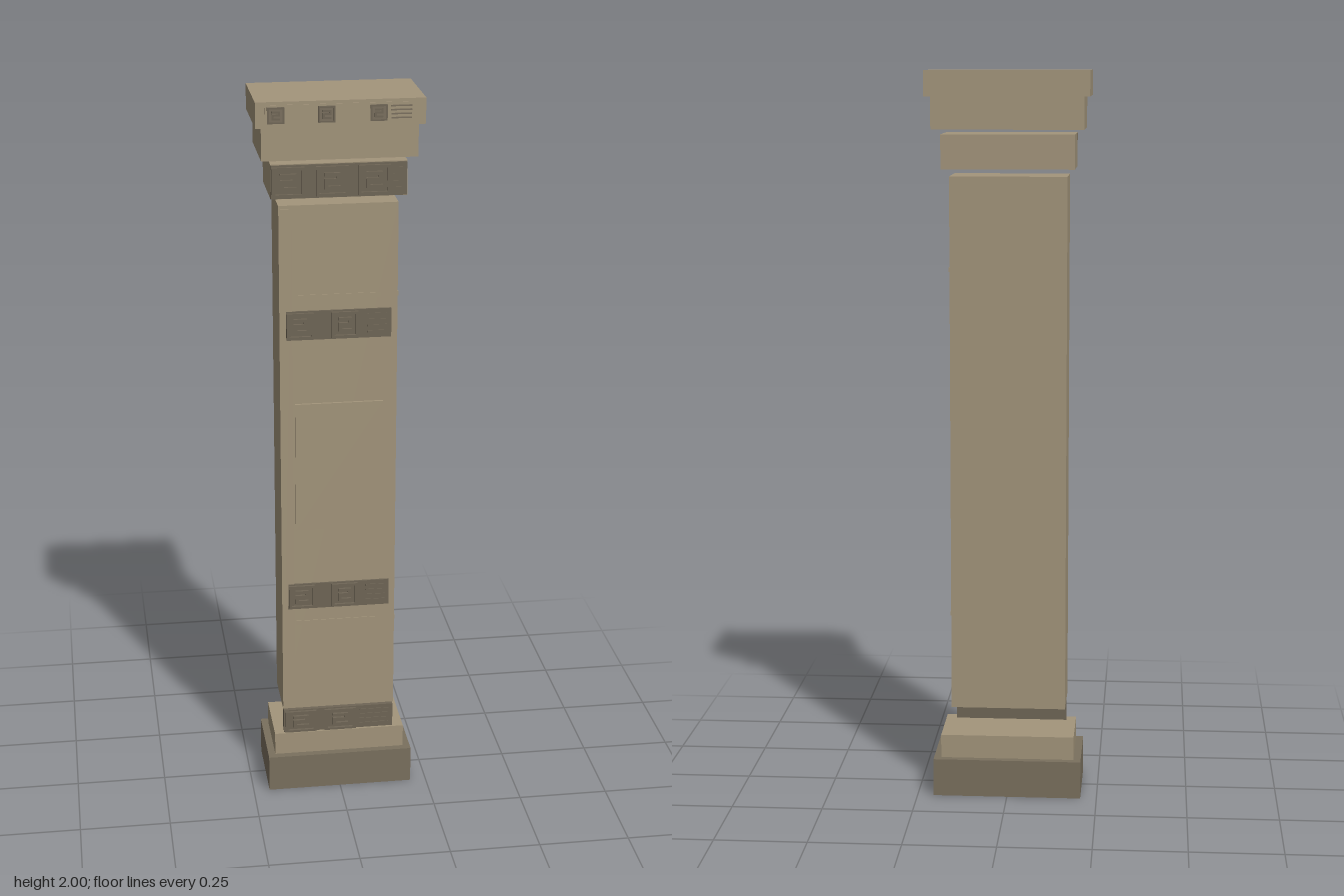
import * as THREE from 'three';

export function createModel() {
  const root = new THREE.Group();
  const stone = new THREE.MeshStandardMaterial({ color: 0xa3957b });
  const darkStone = new THREE.MeshStandardMaterial({ color: 0x7a705e });
  const carvedStone = new THREE.MeshStandardMaterial({ color: 0x6f6656 });
  stone.name = 'stone';
  darkStone.name = 'darkStone';
  carvedStone.name = 'carvedStone';

  // Box given by its limits on each axis
  function block(name, mat, x0, x1, y0, y1, z0, z1, parent = root) {
    const mesh = new THREE.Mesh(new THREE.BoxGeometry(x1 - x0, y1 - y0, z1 - z0), mat);
    mesh.position.set((x0 + x1) / 2, (y0 + y1) / 2, (z0 + z1) / 2);
    mesh.name = name;
    parent.add(mesh);
    return mesh;
  }

  // Stepped foot and head
  block('plinth', darkStone, -0.205, 0.205, 0, 0.105, -0.12, 0.11);
  block('plinthStep', stone, -0.185, 0.185, 0.105, 0.17, -0.1, 0.09);
  block('neckBlock', stone, -0.18, 0.178, 1.74, 1.832, -0.1, 0.088);
  block('capitalBlock', stone, -0.205, 0.203, 1.845, 1.932, -0.112, 0.105);
  block('capitalSlab', stone, -0.22, 0.22, 1.932, 2, -0.125, 0.113);

  // Shaft, hollow and open underneath
  const shaft = block('shaft', stone, -0.16, 0.157, 0.245, 1.72, -0.08, 0.08);
  const openBox = shaft.geometry;
  const kept = Array.from(openBox.index.array).filter((v, i) => i < 18 || i >= 24);
  openBox.setIndex(kept);
  const hollowStone = stone;
  hollowStone.side = THREE.DoubleSide;
  block('shaftEdgeStrip', stone, -0.16, -0.125, 0.255, 1.71, 0.08, 0.083);
  block('frontPanel', stone, -0.12, 0.12, 0.8, 1.17, 0.08, 0.087);

  // Square key pattern: frame bars and a hooked line, in unit cells
  const keyBars = [
    [0, 1, 0, 0.1], [0, 1, 0.9, 1], [0, 0.1, 0.1, 0.9], [0.9, 1, 0.1, 0.9],
    [0.25, 0.75, 0.66, 0.78], [0.63, 0.75, 0.46, 0.66],
    [0.25, 0.63, 0.46, 0.58], [0.25, 0.37, 0.22, 0.46], [0.37, 0.75, 0.22, 0.34],
  ];
  function key(parent, cx, cy, w, h, z, depth) {
    const g = new THREE.Group();
    g.name = 'fretKey';
    for (const [a, b, c, d] of keyBars) {
      block('fretBar', carvedStone, cx + (a - 0.5) * w, cx + (b - 0.5) * w,
        cy + (c - 0.5) * h, cy + (d - 0.5) * h, z, z + depth, g);
    }
    parent.add(g);
  }

  // Carved bands: backing plate, keys and fine ridges at the right end
  const bands = [
    { name: 'lowerBand', x: [-0.158, 0.155], y: [0.168, 0.24], z: [0.058, 0.083], keys: [-0.11, 0.003], w: 0.09, ridge: 0.06 },
    { name: 'lowerShaftBand', x: [-0.142, 0.14], y: [0.56, 0.636], z: [0.08, 0.085], keys: [-0.105, 0.015], w: 0.072, ridge: 0.075 },
    { name: 'upperShaftBand', x: [-0.142, 0.14], y: [1.352, 1.432], z: [0.08, 0.085], keys: [-0.105, 0.015], w: 0.072, ridge: 0.075 },
    { name: 'neckBand', x: [-0.18, 0.176], y: [1.742, 1.83], z: [0.088, 0.094], keys: [-0.135, -0.02, 0.09], w: 0.085, ridge: 0.14 },
    { name: 'capitalBand', x: [-0.195, 0.195], y: [1.94, 1.992], z: [0.113, 0.115], keys: [-0.168, -0.037, 0.097], w: 0.044, ridge: 0.13, pale: true },
  ];
  for (const b of bands) {
    const g = new THREE.Group();
    g.name = b.name;
    root.add(g);
    const h = b.y[1] - b.y[0];
    const cy = (b.y[0] + b.y[1]) / 2;
    const front = b.z[1];
    block('bandPlate', b.pale ? stone : carvedStone, ...b.x, ...b.y, ...b.z, g);
    for (const x of b.keys) {
      if (b.pale) block('keyPlate', darkStone, x - 0.022, x + 0.022, cy - 0.02, cy + 0.02, front, front + 0.003, g);
      key(g, x, cy, b.w, h * (b.pale ? 0.8 : 0.9), front, 0.007);
    }
    for (let i = 0; i < 4; i++) {
      const y = b.y[0] + h * (0.18 + i * 0.2);
      block('ridge', b.pale ? darkStone : carvedStone, b.ridge, b.x[1] - 0.012, y, y + h * 0.07, front, front + 0.002, g);
    }
  }

  // Shallow string lines around the front and right of the shaft
  for (const y of [0.515, 1.47]) {
    block('stringLineFront', stone, -0.12, 0.11, y - 0.006, y + 0.006, 0.08, 0.082);
    block('stringLineSide', stone, 0.157, 0.159, y - 0.006, y + 0.006, -0.08, 0.08);
  }
  return root;
}
